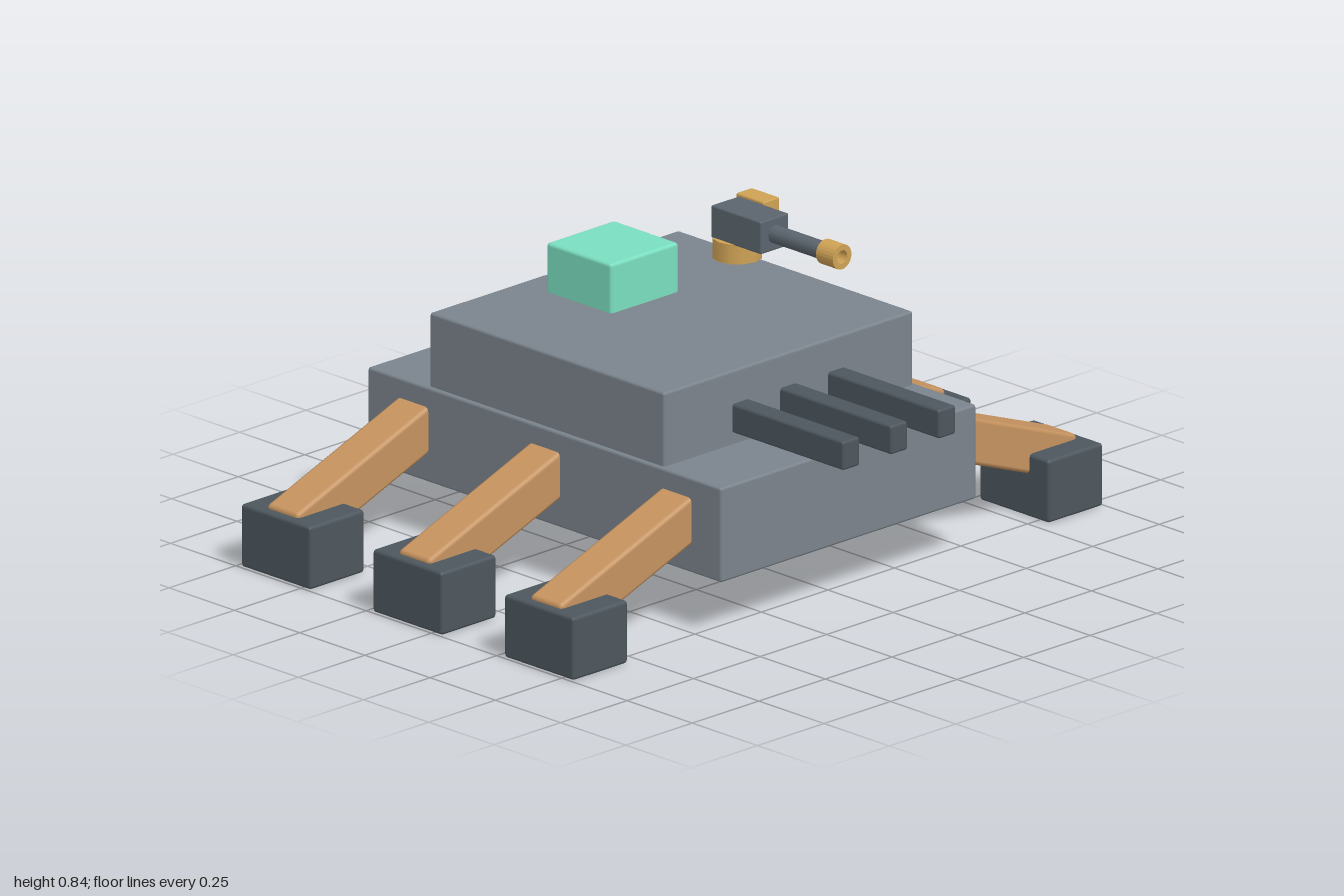
import * as THREE from 'three';
import { RoundedBoxGeometry } from 'three/addons/geometries/RoundedBoxGeometry.js';

const paint = (color) => new THREE.MeshStandardMaterial({ color });
const HULL = paint(0x7b848d), DARK = paint(0x4d575e), GUN = paint(0x5b656e);
const LEG = paint(0xc6935f), GOLD = paint(0xcfa255), GLASS = paint(0x7adfc0);

export function createModel() {
  const model = new THREE.Group();
  model.name = 'walkerTank';

  const add = (name, geometry, material, x, y, z) => {
    const mesh = new THREE.Mesh(geometry, material);
    mesh.name = name;
    mesh.position.set(x, y, z);
    model.add(mesh);
    return mesh;
  };
  // Bevelled box given by its minimum and maximum corners
  const box = (name, material, [x0, y0, z0], [x1, y1, z1], bevel = 0.008) =>
    add(name, new RoundedBoxGeometry(x1 - x0, y1 - y0, z1 - z0, 1, bevel), material,
      (x0 + x1) / 2, (y0 + y1) / 2, (z0 + z1) / 2);

  // Body
  box('lowerHull', HULL, [-0.48, 0.16, -0.775], [0.48, 0.43, 0.58]);
  box('upperHull', HULL, [-0.468, 0.42, -0.55], [0.468, 0.64, 0.35]);
  box('cockpit', GLASS, [-0.128, 0.62, -0.45], [0.128, 0.78, -0.2], 0.01);

  // Front cannons
  for (const x of [-0.18, 0, 0.18])
    box('cannon', DARK, [x - 0.032, 0.462, 0.3], [x + 0.032, 0.545, 0.775]);

  // Rear deck vents
  for (const x of [-0.26, 0.26])
    box('vent', DARK, [x - 0.08, 0.42, -0.62], [x + 0.08, 0.447, -0.594], 0.004);

  // Three pairs of sloping legs with block feet
  const slope = 0.357, length = 0.62;
  for (const side of [-1, 1]) {
    for (const z of [0.407, -0.097, -0.602]) {
      const leg = add('leg', new RoundedBoxGeometry(length, 0.126, 0.12, 1, 0.012), LEG,
        side * (0.953 - Math.cos(slope) * length / 2), 0.13 + Math.sin(slope) * length / 2, z);
      leg.rotation.z = -side * slope;
      const x = side * 0.893;
      box('foot', DARK, [x - 0.103, 0, z - 0.134], [x + 0.103, 0.18, z + 0.134], 0.01);
    }
  }

  // Roof gun: round mount, receiver, side box, barrel and hollow muzzle
  const gx = 0.338, gy = 0.79;
  add('gunMount', new THREE.CylinderGeometry(0.069, 0.069, 0.056, 12), GOLD, gx, 0.718, -0.192);
  box('gunReceiver', GUN, [gx - 0.053, 0.743, -0.24], [gx + 0.053, 0.836, -0.048], 0.005);
  box('ammoBox', GOLD, [gx + 0.056, 0.755, -0.255], [gx + 0.117, 0.84, -0.148], 0.005);
  const barrel = add('gunBarrel', new THREE.CylinderGeometry(0.025, 0.025, 0.22, 12), GUN, gx, gy, 0.05);
  barrel.rotation.x = Math.PI / 2;
  const ring = new THREE.Shape().absarc(0, 0, 0.035, 0, Math.PI * 2);
  ring.holes.push(new THREE.Path().absarc(0, 0, 0.019, 0, Math.PI * 2, true));
  add('gunMuzzle', new THREE.ExtrudeGeometry(ring, { depth: 0.065, bevelEnabled: false, curveSegments: 12 }),
    GOLD, gx, gy, 0.145);

  return model;
}
